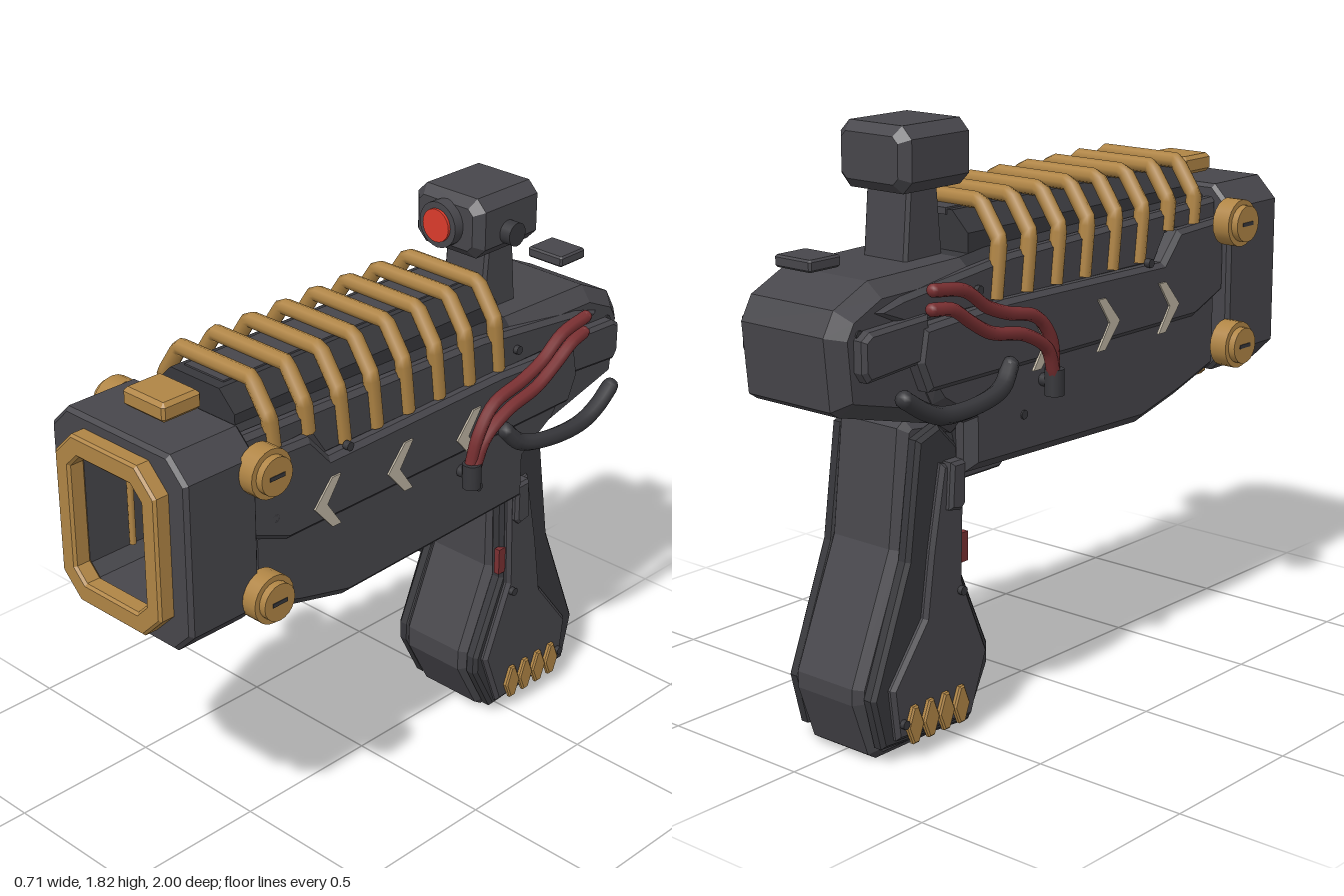
import * as THREE from 'three';

const mat = (name, color) => {
  const m = new THREE.MeshStandardMaterial({ color });
  m.name = name;
  return m;
};

export function createModel() {
  const root = new THREE.Group();
  root.name = 'sciFiPistol';
  const dark = mat('gunmetal', 0x47464b), black = mat('darkMetal', 0x37373b);
  const gold = mat('brass', 0xb08545), red = mat('redCable', 0x7a3032);
  const lensRed = mat('lensRed', 0xdc3c2c), cream = mat('creamPaint', 0xbdb4a2);

  const add = (name, geo, material, x = 0, y = 0, z = 0) => {
    const m = new THREE.Mesh(geo, material);
    m.name = name;
    m.position.set(x, y, z);
    root.add(m);
    return m;
  };
  const both = fn => [1, -1].forEach(fn);
  const box = (name, w, h, d, material, x, y, z) => add(name, new THREE.BoxGeometry(w, h, d), material, x, y, z);
  const extrude = (shape, depth, bevel) => new THREE.ExtrudeGeometry(shape, {
    depth: depth - 2 * bevel, bevelEnabled: bevel > 0, bevelSize: bevel, bevelThickness: bevel,
    bevelOffset: -bevel, bevelSegments: 1, curveSegments: 8,
  }).translate(0, 0, -(depth - 2 * bevel) / 2);

  // Side profile given as [z, y], extruded across x and centred on x
  const slab = (name, pts, width, bevel, material, x = 0) => {
    const shape = new THREE.Shape(pts.map(([z, y]) => new THREE.Vector2(-z, y)));
    return add(name, extrude(shape, width, bevel).rotateY(Math.PI / 2), material, x);
  };
  // Rectangle with cut corners
  const octagon = (w, h, c, Type = THREE.Shape) => new Type([
    [-w + c, -h], [w - c, -h], [w, -h + c], [w, h - c], [w - c, h], [-w + c, h], [-w, h - c], [-w, -h + c],
  ].map(p => new THREE.Vector2(...p)));
  const frame = (w, h, c, iw, ih, ic, depth, bevel) => {
    const s = octagon(w, h, c);
    if (iw) s.holes.push(octagon(iw, ih, ic, THREE.Path));
    return extrude(s, depth, bevel);
  };
  const tube = (name, pts, r, material, straight = false) => {
    const v = pts.map(p => new THREE.Vector3(...p));
    let curve = new THREE.CatmullRomCurve3(v);
    if (straight) {
      curve = new THREE.CurvePath();
      for (let i = 1; i < v.length; i++) curve.add(new THREE.LineCurve3(v[i - 1], v[i]));
    }
    add(name, new THREE.TubeGeometry(curve, straight ? 40 : 28, r, 8), material);
    if (!straight) [v[0], v[v.length - 1]].forEach(p =>
      add(name + 'End', new THREE.SphereGeometry(r, 8, 6), material, p.x, p.y, p.z));
  };
  const disc = (name, r, len, material, x, y, z, seg = 20) =>
    add(name, new THREE.CylinderGeometry(r, r, len, seg).rotateZ(Math.PI / 2), material, x, y, z);

  // Main body and rear block
  slab('bodyCore', [[0.7, 0.94], [0.3, 0.83], [-0.47, 0.84], [-0.5, 0.96], [-0.6, 1.0], [-0.6, 1.43],
    [-0.35, 1.46], [0.7, 1.48]], 0.4, 0.04, black);
  slab('rearBlock', [[-0.3, 1.0], [-0.5, 0.94], [-0.56, 0.98], [-0.95, 1.08], [-0.98, 1.1], [-1, 1.31],
    [-0.96, 1.38], [-0.83, 1.44], [-0.3, 1.45]], 0.41, 0.045, dark);
  add('coilCore', frame(0.16, 0.11, 0.06, 0, 0, 0, 1.08, 0), black, 0, 1.46, 0.12);
  box('coilSpine', 0.16, 0.02, 1.05, dark, 0, 1.565, 0.1);

  // Side armour
  both(s => {
    slab('lowerSidePlate', [[0.69, 0.92], [0.5, 0.86], [0.3, 0.81], [-0.5, 0.83], [-0.5, 0.98], [-0.63, 1.06],
      [-0.68, 1.15], [0.69, 1.18]], 0.09, 0.03, dark, s * 0.195);
    slab('upperSidePlate', [[0.7, 1.17], [0.55, 1.11], [-0.68, 1.11], [-0.72, 1.2], [-0.7, 1.3], [-0.35, 1.32],
      [0.38, 1.31], [0.46, 1.4], [0.7, 1.41]], 0.08, 0.015, dark, s * 0.215);
    slab('topRail', [[0.7, 1.38], [0.44, 1.39], [0.38, 1.3], [-0.72, 1.3], [-0.85, 1.36], [-0.75, 1.39],
      [-0.3, 1.44], [0.7, 1.47]], 0.05, 0.015, dark, s * 0.195);
    slab('rearSideBox', [[-0.66, 1.2], [-0.91, 1.18], [-0.93, 1.21], [-0.93, 1.3], [-0.9, 1.32], [-0.67, 1.33]],
      0.08, 0.012, dark, s * 0.205);
    // Painted chevrons pointing forward
    for (const z of [0.4, 0.1, -0.2]) {
      slab('chevron', [[z + 0.055, 1.17], [z - 0.015, 1.25], [z - 0.05, 1.25], [z + 0.005, 1.17], [z - 0.05, 1.09],
        [z - 0.015, 1.09]], 0.008, 0, cream, s * 0.257);
    }
    // Bolts
    for (const [x, y, z] of [[0.25, 1.32, 0.31], [0.245, 1.2, 0.6], [0.235, 0.96, -0.27], [0.225, 1.36, -0.45],
      [0.2, 0.47, -0.5], [0.2, 0.13, -0.75], [0.2, 1.31, -0.91]]) {
      disc('bolt', 0.014, 0.02, black, s * x, y, z, 10);
    }
  });

  // Muzzle block with brass frame and recessed emitter
  add('muzzleBlock', frame(0.28, 0.305, 0.07, 0.16, 0.21, 0.035, 0.26, 0.012), dark, 0, 1.205, 0.82);
  add('muzzleFrame', frame(0.21, 0.265, 0.075, 0.15, 0.2, 0.04, 0.06, 0.008), gold, 0, 1.205, 0.97);
  box('emitterPanel', 0.24, 0.32, 0.08, dark, 0, 1.2, 0.73);
  both(s => add('emitterRod', new THREE.CylinderGeometry(0.01, 0.01, 0.28, 8), gold, s * 0.11, 1.205, 0.82));
  for (const [y, name] of [[1.55, 'topLug'], [0.857, 'bottomLug']]) {
    const h = y > 1 ? 0.06 : 0.04;
    add(name, frame(0.085, 0.07, 0.008, 0, 0, 0, h, 0.012).rotateX(Math.PI / 2), gold, 0, y, 0.78);
  }
  both(s => [1.4, 1.005].forEach(y => {
    disc('muzzleKnob', 0.075, 0.06, gold, s * 0.3, y, 0.685);
    disc('muzzleKnobCap', 0.058, 0.025, gold, s * 0.34, y, 0.685);
    box('muzzleKnobSlot', 0.006, 0.012, 0.055, black, s * 0.352, y, 0.685);
  }));

  // Brass coil hoops
  for (let i = 0; i < 8; i++) {
    const z = 0.582 - i * 0.133, low = i < 2 ? 1.4 : 1.32, foot = z - (i < 2 ? 0.01 : 0.02);
    tube('coilHoop', [[-0.215, low, foot], [-0.215, 1.49, z], [-0.145, 1.593, z], [0.145, 1.593, z],
      [0.215, 1.49, z], [0.215, low, foot]], 0.025, gold, true);
  }

  // Sight
  slab('sightNeck', [[-0.44, 1.43], [-0.46, 1.66], [-0.58, 1.66], [-0.6, 1.43]], 0.17, 0.01, dark);
  add('sightBody', frame(0.137, 0.095, 0.035, 0, 0, 0, 0.29, 0.028), dark, 0, 1.737, -0.505);
  const ring = (name, r, len, m, z) => add(name, new THREE.CylinderGeometry(r, r, len, 24).rotateX(Math.PI / 2), m, 0, 1.74, z);
  ring('sightBarrel', 0.072, 0.05, dark, -0.35);
  ring('sightLens', 0.052, 0.012, lensRed, -0.322);
  disc('sightKnob', 0.037, 0.05, black, 0.15, 1.71, -0.49);
  add('rearSight', frame(0.07, 0.06, 0.006, 0, 0, 0, 0.035, 0.006).rotateX(Math.PI / 2), dark, 0, 1.485, -0.895);

  // Cables and hoses on both sides
  both(s => {
    tube('upperCable', [[s * 0.28, 1.08, -0.185], [s * 0.29, 1.18, -0.205], [s * 0.29, 1.26, -0.27],
      [s * 0.29, 1.295, -0.4], [s * 0.29, 1.33, -0.49], [s * 0.29, 1.39, -0.58], [s * 0.285, 1.41, -0.7]], 0.02, red);
    tube('lowerCable', [[s * 0.29, 1.08, -0.195], [s * 0.295, 1.16, -0.23], [s * 0.295, 1.22, -0.33],
      [s * 0.29, 1.25, -0.47], [s * 0.29, 1.3, -0.56], [s * 0.29, 1.345, -0.63], [s * 0.28, 1.355, -0.7]], 0.02, red);
    add('cableSocket', new THREE.CylinderGeometry(0.03, 0.03, 0.08, 12), black, s * 0.285, 1.05, -0.185);
    disc('cableMount', 0.02, 0.06, black, s * 0.25, 1.05, -0.185, 10);
    tube('sideHose', [[s * 0.265, 1.13, -0.36], [s * 0.28, 1.08, -0.41], [s * 0.295, 1.055, -0.52],
      [s * 0.3, 1.055, -0.68], [s * 0.3, 1.085, -0.76], [s * 0.295, 1.13, -0.83]], 0.027, black);
  });

  // Grip with side panels
  slab('gripCore', [[-0.46, 0.98], [-0.46, 0.55], [-0.34, 0.27], [-0.34, 0.2], [-0.43, 0.03], [-0.46, 0.01],
    [-0.78, 0.01], [-0.81, 0.03], [-0.87, 0.2], [-0.87, 0.25], [-0.71, 0.63], [-0.67, 0.98], [-0.64, 1.0]],
    0.27, 0.025, dark);
  both(s => {
    slab('gripSidePlate', [[-0.46, 0.88], [-0.47, 0.52], [-0.355, 0.26], [-0.355, 0.2], [-0.44, 0.035],
      [-0.81, 0.06], [-0.85, 0.22], [-0.7, 0.6], [-0.65, 0.95], [-0.56, 0.98]], 0.05, 0.012, black, s * 0.15);
    slab('gripInnerPanel', [[-0.475, 0.84], [-0.485, 0.5], [-0.38, 0.25], [-0.45, 0.06], [-0.77, 0.08],
      [-0.79, 0.24], [-0.65, 0.42], [-0.62, 0.62], [-0.57, 0.87]], 0.04, 0.012, dark, s * 0.175);
    slab('gripClip', [[-0.49, 0.87], [-0.49, 0.74], [-0.51, 0.72], [-0.56, 0.73], [-0.55, 0.87]],
      0.05, 0.01, dark, s * 0.19);
    box('gripInlay', 0.02, 0.09, 0.03, red, s * 0.17, 0.59, -0.465);
    // Row of brass teeth
    for (let i = 0; i < 4; i++) {
      const z = -0.51 - i * 0.066;
      slab('gripTooth', [[z + 0.01, 0.175], [z - 0.01, 0.175], [z - 0.034, 0.115], [z - 0.012, 0.06],
        [z + 0.012, 0.06], [z + 0.034, 0.115]], 0.02, 0.005, gold, s * 0.2);
    }
  });

  // Trigger guard and trigger
  slab('triggerGuard', [[-0.03, 0.83], [-0.14, 0.73], [-0.44, 0.73], [-0.44, 0.84], [-0.41, 0.84], [-0.41, 0.77],
    [-0.15, 0.77], [-0.08, 0.83]], 0.07, 0.006, dark);
  slab('trigger', [[-0.27, 0.85], [-0.31, 0.8], [-0.34, 0.85]], 0.04, 0, black);
  return root;
}
